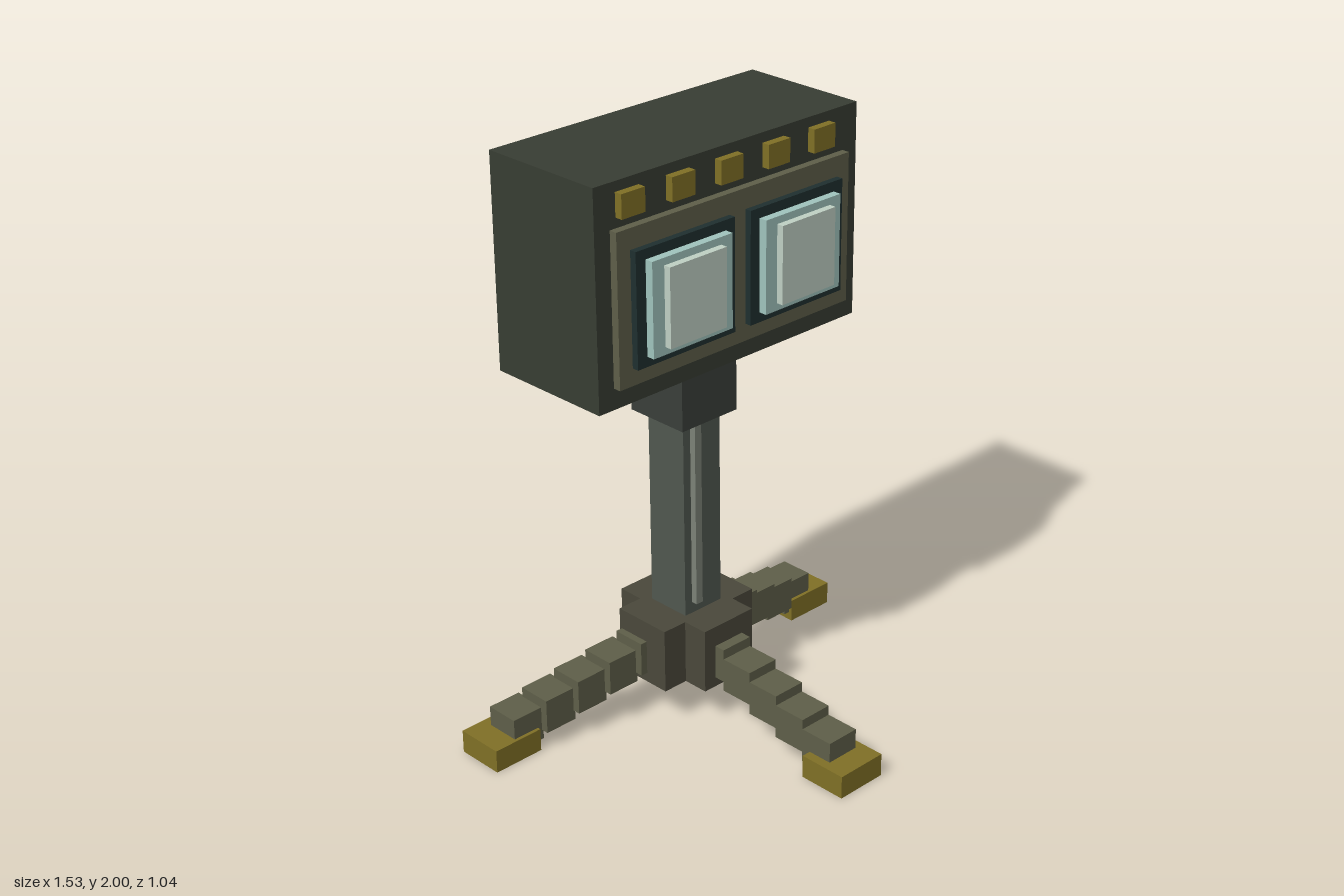
import * as THREE from 'three';

const mat = (color) => new THREE.MeshStandardMaterial({ color });

export function createModel() {
  const model = new THREE.Group();
  const shell = mat(0x383d33), steel = mat(0x50574f), steelLight = mat(0x7c8277), clamp = mat(0x3a3f3a);
  const hubMat = mat(0x4a483b), olive = mat(0x5f5f49), brass = mat(0x807026);
  const rim = mat(0x1f2f2f), glass = mat(0xa0c4bd), glow = mat(0xbfd0c4);

  // Box given by its extents on each axis
  const box = (name, material, [x0, x1], [y0, y1], [z0, z1], parent = model) => {
    const mesh = new THREE.Mesh(new THREE.BoxGeometry(x1 - x0, y1 - y0, z1 - z0), material);
    mesh.position.set((x0 + x1) / 2, (y0 + y1) / 2, (z0 + z1) / 2);
    mesh.name = name;
    parent.add(mesh);
  };
  const around = (c, half) => [c - half, c + half];
  const axis = -0.277; // z of the pole

  // Lamp head
  const head = new THREE.Group();
  head.name = 'lampHead';
  model.add(head);
  box('housing', shell, [-0.545, 0.545], [1.29, 2], [-0.515, -0.06], head);
  box('facePanel', olive, [-0.485, 0.485], [1.36, 1.857], [-0.07, -0.033], head);
  for (let i = -2; i <= 2; i++) {
    box('button', brass, around(-0.02 + i * 0.198, 0.046), [1.89, 1.967], [-0.07, -0.033], head);
  }

  // Two stepped lamps
  for (const side of [-1, 1]) {
    const x = side * 0.233;
    box('lampRim', rim, around(x, 0.2), [1.417, 1.79], [-0.04, -0.01], head);
    box('lampGlass', glass, around(x, 0.162), [1.45, 1.757], [-0.02, 0.018], head);
    box('lampCore', glow, around(x, 0.115), [1.475, 1.733], [0.01, 0.042], head);
  }

  // Pole with highlight strip and collar
  box('pole', steel, around(0, 0.08), [0.3, 1.3], around(axis, 0.08));
  box('poleStrip', steelLight, [-0.05, -0.022], [0.4, 1.29], [-0.21, -0.175]);
  box('collar', clamp, around(0, 0.118), [1.055, 1.25], around(axis, 0.118));

  // Cross-shaped hub
  box('hub', hubMat, around(0, 0.2), [0.135, 0.36], around(axis, 0.108));
  box('hub', hubMat, around(0, 0.108), [0.135, 0.36], around(axis, 0.2));

  // Stepped legs: start and end segment centres, then the foot centre
  const legs = [
    { name: 'frontLeg', from: [0, -0.099], to: [0, 0.378], foot: [0, 0.436] },
    { name: 'leftLeg', from: [0.165, -0.316], to: [0.62, -0.425], foot: [0.675, -0.438] },
    { name: 'rightLeg', from: [-0.165, -0.316], to: [-0.62, -0.425], foot: [-0.675, -0.438] },
  ];
  for (const { name, from, to, foot } of legs) {
    const leg = new THREE.Group();
    leg.name = name;
    model.add(leg);
    for (let i = 0; i < 5; i++) {
      const t = i / 4;
      const x = THREE.MathUtils.lerp(from[0], to[0], t);
      const z = THREE.MathUtils.lerp(from[1], to[1], t);
      const y = THREE.MathUtils.lerp(0.228, 0.09, t);
      box('legSegment', olive, around(x, 0.06), around(y, 0.06), around(z, 0.06), leg);
    }
    box('foot', brass, around(foot[0], 0.092), [0, 0.08], around(foot[1], 0.085), leg);
  }
  return model;
}
